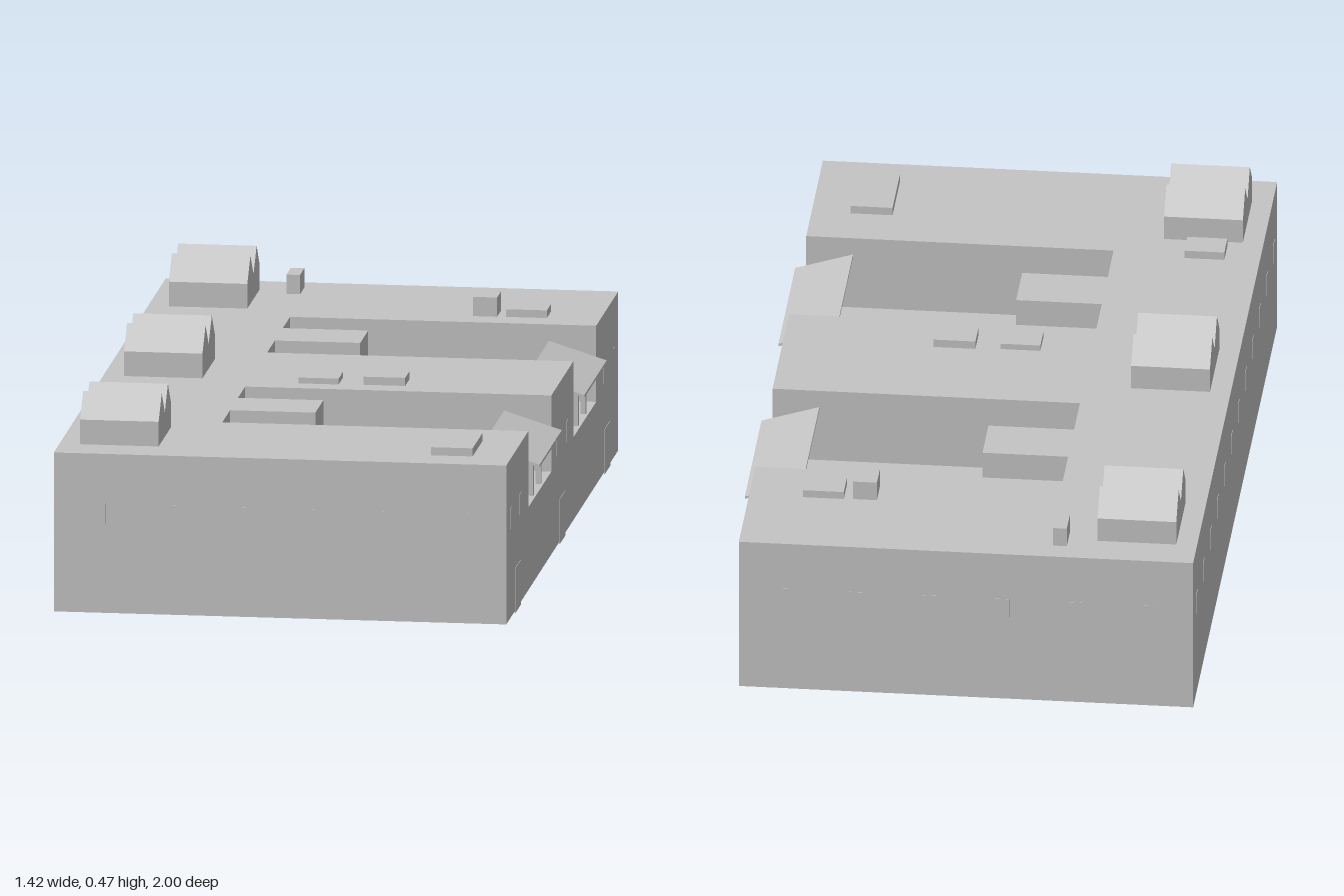
import * as THREE from 'three';

export function createModel() {
  const model = new THREE.Group();
  model.name = 'courtyardBuilding';
  // the whole block stands turned on its plot
  const building = new THREE.Group();
  building.name = 'building';
  building.rotation.y = 0.2535;
  model.add(building);

  const grey = new THREE.MeshStandardMaterial({ color: 0xc4c4c4, side: THREE.DoubleSide });
  grey.name = 'plainGrey';

  const W = 0.4985, D = 0.904;             // half width, half depth
  const BASE = 0.005, FLOOR = 0.19, ROOF = 0.36;
  const COURTS = [0.361, -0.363];          // courtyard centres along z

  function add(name, geometry, parent = building) {
    const mesh = new THREE.Mesh(geometry, grey);
    mesh.name = name;
    parent.add(mesh);
    return mesh;
  }
  function box(name, x, z, w, d, y0, y1) {
    const mesh = add(name, new THREE.BoxGeometry(w, y1 - y0, d));
    mesh.position.set(x, (y0 + y1) / 2, z);
    return mesh;
  }
  // vertical walls along a closed outline of [x, z] points
  function walls(name, outline, y0, y1) {
    const pos = [];
    outline.forEach(([ax, az], i) => {
      const [bx, bz] = outline[(i + 1) % outline.length];
      pos.push(ax, y0, az, bx, y0, bz, bx, y1, bz, ax, y0, az, bx, y1, bz, ax, y1, az);
    });
    const g = new THREE.BufferGeometry();
    g.setAttribute('position', new THREE.Float32BufferAttribute(pos, 3));
    g.computeVertexNormals();
    add(name, g);
  }
  // horizontal sheet filling an outline
  function sheet(name, outline, y) {
    const shape = new THREE.Shape(outline.map(([x, z]) => new THREE.Vector2(x, -z)));
    const g = new THREE.ShapeGeometry(shape);
    g.rotateX(-Math.PI / 2);
    g.translate(0, y, 0);
    add(name, g);
  }

  // courtyard outline with the wing that projects into it
  const courtOutline = (c) => [
    [W, c + 0.185], [-0.176, c + 0.185], [-0.176, c + 0.06], [0.012, c + 0.06],
    [0.012, c - 0.069], [-0.176, c - 0.069], [-0.176, c - 0.185], [W, c - 0.185],
  ];
  const rect = [[-W, D], [W, D], [W, -D], [-W, -D]];
  const roofOutline = [[-W, D], [W, D], ...COURTS.flatMap(courtOutline), [W, -D], [-W, -D]];

  // hollow shell, open underneath
  walls('lowerWalls', rect, BASE, FLOOR);
  walls('upperWalls', roofOutline, FLOOR, ROOF);
  sheet('roof', roofOutline, ROOF);

  for (const c of COURTS) {
    sheet('courtyardFloor', courtOutline(c), FLOOR);

    // sloping canopy over the open side, on two posts
    const profile = new THREE.Shape([
      new THREE.Vector2(0.395, 0.318), new THREE.Vector2(0.522, 0.278),
      new THREE.Vector2(0.522, 0.284), new THREE.Vector2(0.395, 0.324),
    ]);
    const canopy = new THREE.ExtrudeGeometry(profile, { depth: 0.36, bevelEnabled: false });
    canopy.translate(0, 0, c - 0.182);
    add('canopy', canopy);
    for (const s of [-1, 1]) box('canopyPost', 0.487, c + s * 0.062, 0.012, 0.012, FLOOR, 0.288);
  }

  // double gabled skylights
  const gable = new THREE.Shape([
    [-0.1, ROOF], [0.1, ROOF], [0.1, 0.415], [0.05, 0.468],
    [0, 0.415], [-0.05, 0.468], [-0.1, 0.415],
  ].map(([x, y]) => new THREE.Vector2(x, y)));
  for (const z of [-0.72, 0.004, 0.712]) {
    const g = new THREE.ExtrudeGeometry(gable, { depth: 0.173, bevelEnabled: false });
    g.rotateY(Math.PI / 2);
    g.translate(-0.453, 0, z);
    add('skylight', g);
  }

  // roof units: x, z, width, depth, top
  const units = [
    [-0.201, -0.817, 0.03, 0.07, 0.403], [0.245, -0.644, 0.053, 0.068, 0.403],
    [0.336, -0.646, 0.09, 0.068, 0.377], [-0.021, 0.093, 0.088, 0.068, 0.373],
    [0.123, 0.088, 0.092, 0.068, 0.378], [-0.377, 0.56, 0.088, 0.066, 0.378],
    [0.367, 0.742, 0.092, 0.158, 0.378],
  ];
  for (const [x, z, w, d, top] of units) box('roofUnit', x, z, w, d, ROOF, top);

  // thin window plates around the walls
  const inCourt = (z) => COURTS.some((c) => Math.abs(z - c) < 0.2);
  for (let i = 0; i < 12; i++) {
    const z = (i - 5.5) * 0.151;
    box('sideWindow', -W, z, 0.002, 0.03, 0.205, 0.25);
    if (!inCourt(z)) box('sideWindow', W, z, 0.002, 0.03, 0.205, 0.25);
  }
  for (let i = 0; i < 6; i++) {
    for (const s of [-1, 1]) box('endWindow', (i - 2.5) * 0.16, s * D, 0.03, 0.002, 0.205, 0.25);
  }

  // doors on the courtyard side, reaching the ground
  for (const z of [-0.724, 0, 0.72]) box('door', W, z, 0.002, 0.09, 0, 0.1);

  return model;
}
